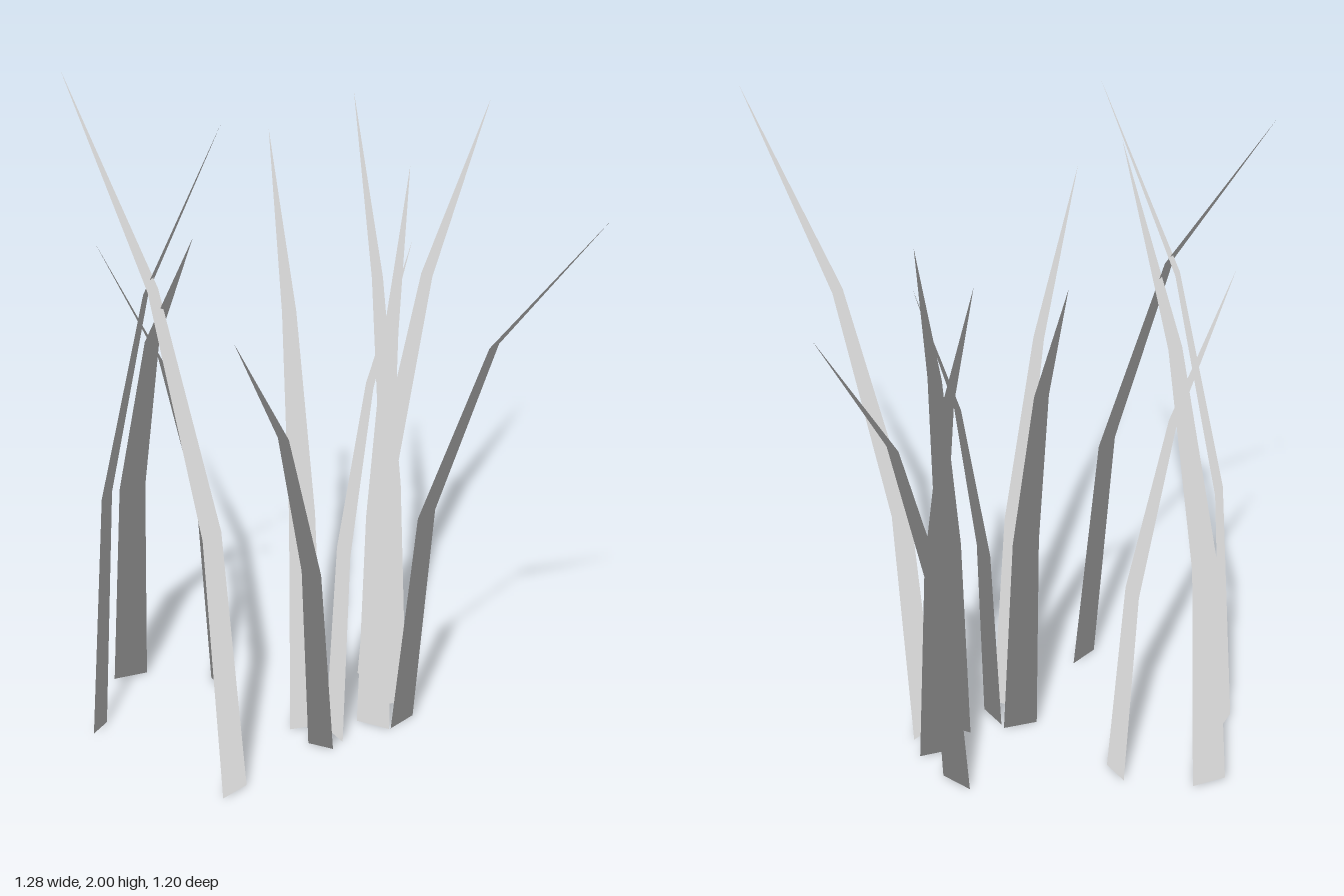
import * as THREE from 'three';

// Each blade: base corner A (x, z), base corner B (x, z), tip (x, z), height
const BLADES = [
  [-0.545, -0.385, -0.445, -0.405, -0.365, 0.285, 1.72],
  [-0.03, 0.055, 0.035, 0.097, -0.297, 0.524, 1.53],
  [-0.07, -0.025, 0.03, -0.035, -0.05, -0.473, 1.7],
  [-0.313, 0.29, -0.238, 0.235, -0.642, -0.234, 2.0],
  [-0.637, -0.1, -0.593, -0.155, -0.27, 0.15, 1.97],
  [-0.258, -0.341, -0.227, -0.262, -0.575, -0.159, 1.53],
  [0.297, -0.038, 0.22, 0.02, 0.642, 0.6, 1.83],
  [0.18, -0.293, 0.243, -0.217, 0.614, -0.6, 1.7],
  [0.214, -0.107, 0.293, -0.117, 0.203, -0.538, 1.77],
  [0.034, -0.017, 0.069, 0.066, 0.278, -0.068, 1.51],
  [0.13, -0.037, 0.215, 0.023, 0.29, -0.165, 1.69],
];

// Cross-sections up a blade: share of height, share of lean, share of width
const SECTIONS = [[0, 0, 1], [0.4, 0.12, 0.76], [0.733, 0.457, 0.41]];

// Flat strip that narrows and bends towards a pointed tip
function bladeGeometry([ax, az, bx, bz, tx, tz, height]) {
  const cx = (ax + bx) / 2, cz = (az + bz) / 2;
  const points = [], index = [];
  for (const [rise, lean, width] of SECTIONS) {
    const x = cx + (tx - cx) * lean, z = cz + (tz - cz) * lean;
    for (const side of [-1, 1]) {
      const half = side * width / 2;
      points.push(x + (bx - ax) * half, height * rise, z + (bz - az) * half);
    }
  }
  points.push(tx, height, tz);
  for (let i = 0; i < SECTIONS.length - 1; i++) {
    const a = i * 2;
    index.push(a, a + 1, a + 3, a, a + 3, a + 2);
  }
  index.push(4, 5, 6);

  // All normals point up, so the whole tuft is shaded evenly
  const normals = [];
  for (let i = 0; i < points.length; i += 3) normals.push(0, 1, 0);

  const geometry = new THREE.BufferGeometry();
  geometry.setAttribute('position', new THREE.Float32BufferAttribute(points, 3));
  geometry.setAttribute('normal', new THREE.Float32BufferAttribute(normals, 3));
  geometry.setIndex(index);
  return geometry;
}

export function createModel() {
  const group = new THREE.Group();
  group.name = 'grassTuft';
  const grey = new THREE.MeshStandardMaterial({ color: 0xcccccc, side: THREE.DoubleSide });
  grey.name = 'lightGrey';

  BLADES.forEach((blade, i) => {
    const mesh = new THREE.Mesh(bladeGeometry(blade), grey);
    mesh.name = `grassBlade${i + 1}`;
    group.add(mesh);
  });
  return group;
}
